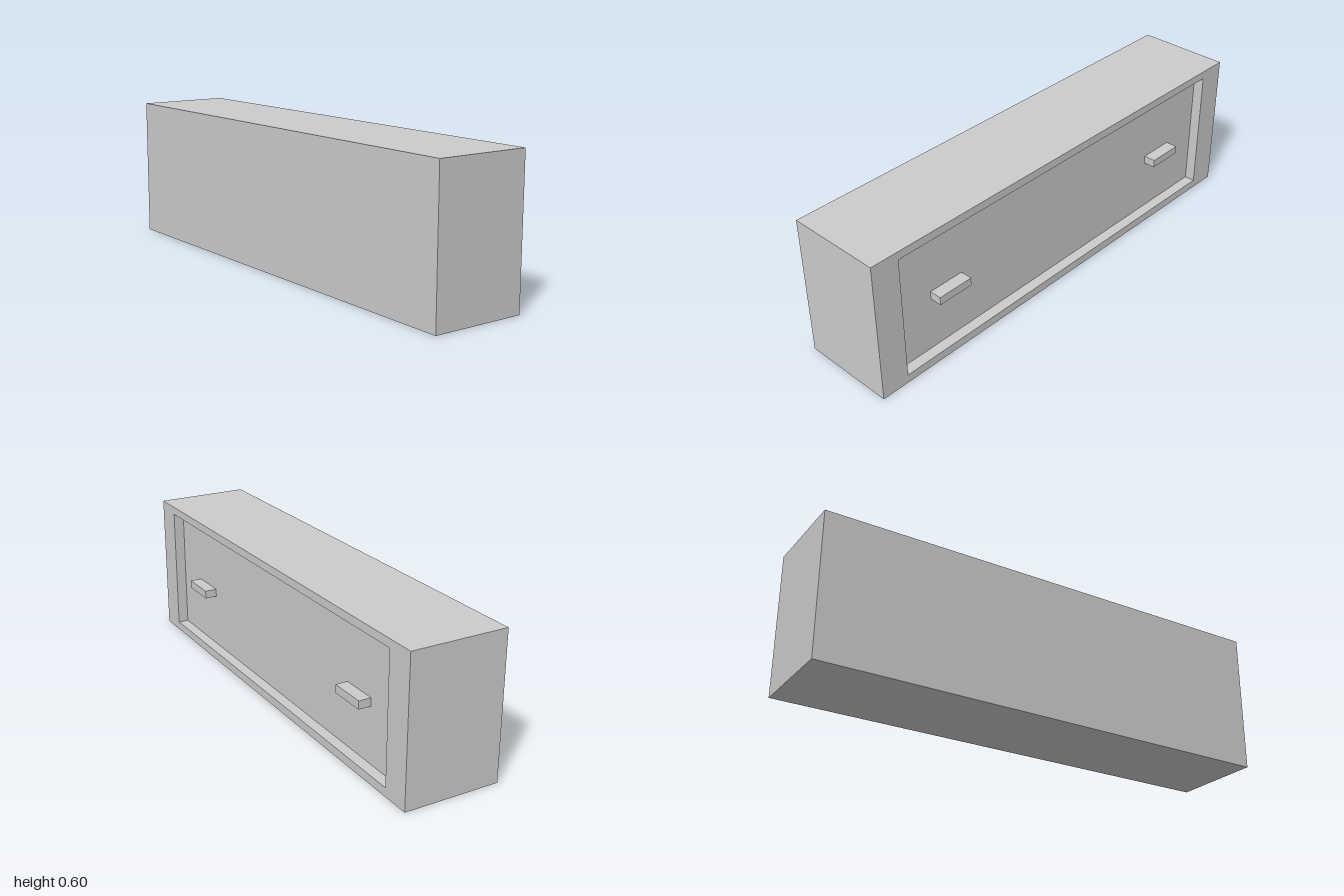
import * as THREE from 'three';

const HEIGHT = 0.6, LENGTH = 2;
const BACK = -0.203, FACE = 0.197, RECESS = 0.045;

export function createModel() {
  const group = new THREE.Group();
  const material = new THREE.MeshStandardMaterial({ color: 0xcccccc, flatShading: true });

  const add = (name, geometry, x, y, z) => {
    const mesh = new THREE.Mesh(geometry, material);
    mesh.name = name;
    mesh.position.set(x, y, z);
    group.add(mesh);
    return mesh;
  };

  // Solid cabinet body behind the recessed panel
  const depth = FACE - RECESS - BACK;
  add('cabinetBody', new THREE.BoxGeometry(depth, HEIGHT, LENGTH), BACK + depth / 2, HEIGHT / 2, 0);

  // Raised frame around the recess, extruded towards +x
  const rect = (Type, z, y0, y1) => new Type([
    new THREE.Vector2(-z, y0), new THREE.Vector2(z, y0),
    new THREE.Vector2(z, y1), new THREE.Vector2(-z, y1),
  ]);
  const outline = rect(THREE.Shape, LENGTH / 2, 0, HEIGHT);
  outline.holes.push(rect(THREE.Path, 0.88, 0.036, 0.566));
  const frame = new THREE.ExtrudeGeometry(outline, { depth: RECESS, bevelEnabled: false });
  frame.rotateY(Math.PI / 2);
  add('frontFrame', frame, FACE - RECESS, 0, 0);

  // Two bar handles standing on the panel
  for (const side of [-1, 1]) {
    add(side > 0 ? 'frontHandle' : 'rearHandle',
      new THREE.BoxGeometry(0.051, 0.034, 0.157), FACE - RECESS + 0.0255, 0.283, side * 0.63);
  }
  return group;
}
